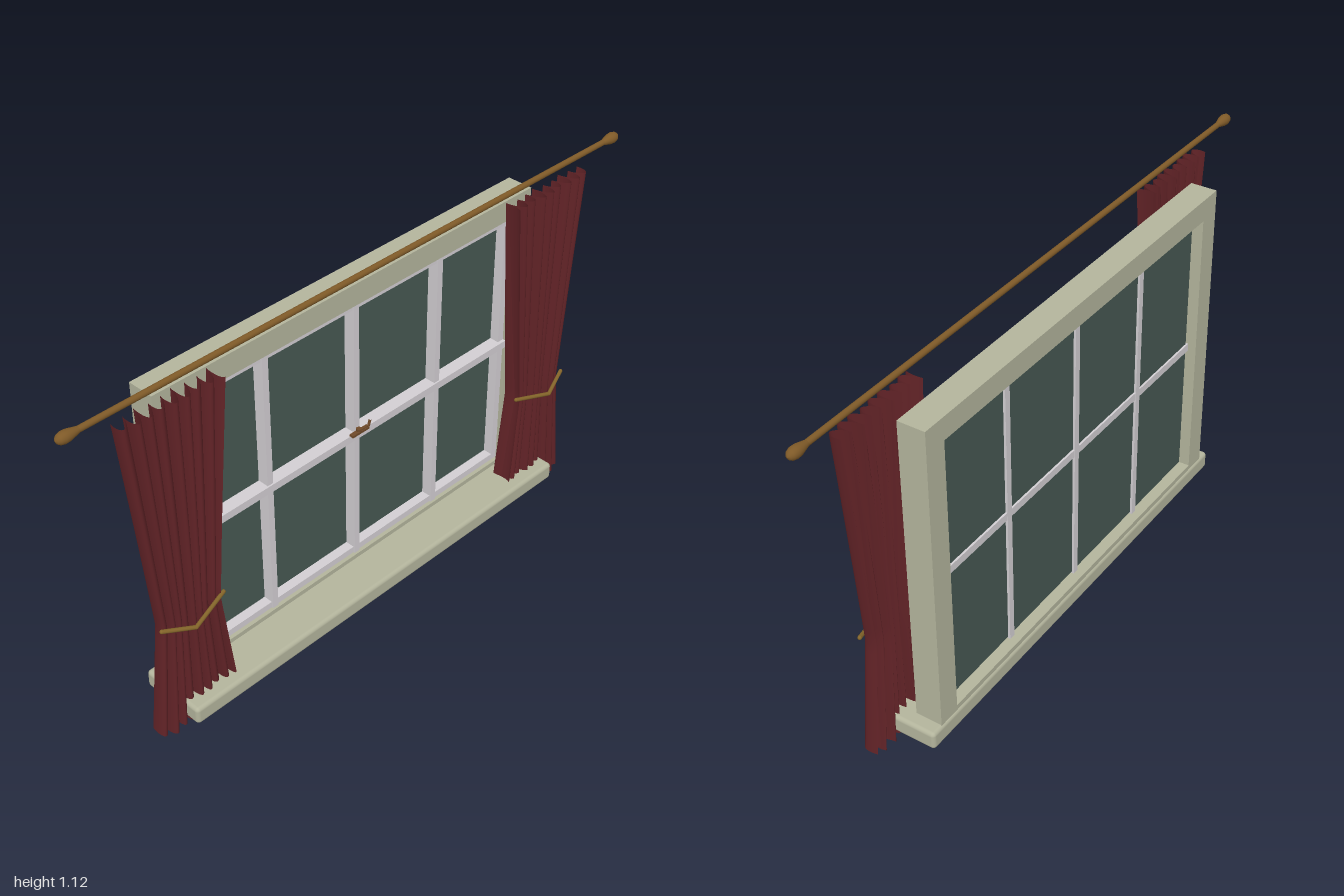
import * as THREE from 'three';
import { RoundedBoxGeometry } from 'three/addons/geometries/RoundedBoxGeometry.js';

const mat = (name, color, side = THREE.FrontSide) => {
  const m = new THREE.MeshStandardMaterial({ color, side });
  m.name = name;
  return m;
};

// Rectangular ring between two z planes
function ring(x, y0, y1, side, bottom, top, z0, z1) {
  const rect = (P, hx, a, b) => {
    const p = new P();
    p.moveTo(-hx, a);
    p.lineTo(hx, a);
    p.lineTo(hx, b);
    p.lineTo(-hx, b);
    p.closePath();
    return p;
  };
  const shape = rect(THREE.Shape, x, y0, y1);
  shape.holes.push(rect(THREE.Path, x - side, y0 + bottom, y1 - top));
  const g = new THREE.ExtrudeGeometry(shape, { depth: z1 - z0, bevelEnabled: false });
  return g.translate(0, 0, z0);
}

// Round bar between two points
function bar(a, b, r, sides = 12) {
  const path = new THREE.LineCurve3(new THREE.Vector3(...a), new THREE.Vector3(...b));
  return new THREE.TubeGeometry(path, 1, r, sides, false);
}

// Linear interpolation through [y, value] stops
function along(stops, y) {
  for (let i = 1; i < stops.length; i++) {
    const [y0, v0] = stops[i - 1], [y1, v1] = stops[i];
    if (y <= y1) return v0 + (v1 - v0) * (y - y0) / (y1 - y0);
  }
  return stops[stops.length - 1][1];
}

// Pleated sheet, drawn in at the tie
function curtainGeometry(side) {
  const inner = [[0, 0.55], [0.38, 0.588], [1.06, 0.53]];
  const outer = [[0, 0.82], [0.38, 0.782], [1.06, 0.845]];
  const depth = [[0, 0.036], [0.38, 0.03], [1.06, 0.03]];
  const g = new THREE.PlaneGeometry(1, 1, 144, 28);
  const p = g.attributes.position;
  for (let i = 0; i < p.count; i++) {
    const u = p.getX(i) + 0.5, v = p.getY(i) + 0.5;
    const y = v * 1.055 + 0.005;
    const a = along(inner, y), b = along(outer, y);
    const t = side > 0 ? u : 1 - u;
    const phase = t * Math.PI * 2 * 8.5 + 0.4 * Math.sin(y * 3);
    const size = 0.82 + 0.18 * Math.sin(t * 17 + 1);
    const x = a + (b - a) * t + 0.008 * Math.sin(phase + 0.6);
    const z = 0.042 + along(depth, y) * size * Math.cos(phase);
    const hem = (1 - v) ** 6 * 0.014 * Math.abs(Math.sin(t * Math.PI * 3.5));
    p.setXYZ(i, side * x, y + hem, z);
  }
  g.computeVertexNormals();
  return g;
}

export function createModel() {
  const model = new THREE.Group();
  model.name = 'curtainedWindow';
  const cream = mat('cream frame', 0xb3b49c);
  const white = mat('white sash', 0xd2ced2);
  const glass = mat('dark glass', 0x465852);
  const cloth = mat('burgundy cloth', 0x602226, THREE.DoubleSide);
  const wood = mat('brown wood', 0x7f5a28);
  const gold = mat('gold cord', 0x84652a);
  const bronze = mat('bronze latch', 0x6f4a2a);

  const add = (name, geometry, material, parent = model) => {
    const mesh = new THREE.Mesh(geometry, material);
    mesh.name = name;
    parent.add(mesh);
    return mesh;
  };
  const box = (name, w, h, d, x, y, z, m) =>
    add(name, new THREE.BoxGeometry(w, h, d).translate(x, y, z), m);

  // Frame and sill
  add('frame', ring(0.69, 0.06, 1.037, 0.07, 0.04, 0.067, -0.1, -0.018), cream);
  add('sill', new RoundedBoxGeometry(1.464, 0.057, 0.212, 3, 0.012).translate(0, 0.057, 0.001), cream);

  // Sash, pane and glazing bars
  add('sash', ring(0.62, 0.1, 0.97, 0.022, 0.021, 0.021, -0.06, -0.03), white);
  box('pane', 1.23, 0.86, 0.008, 0, 0.535, -0.064, glass);
  for (const x of [-0.325, 0, 0.325]) {
    box('verticalBar', 0.02, 0.87, 0.05, x, 0.535, -0.05, white);
  }
  box('meetingRail', 1.24, 0.024, 0.054, 0, 0.535, -0.047, white);

  // Latch on the meeting rail
  const latch = new THREE.Group();
  latch.name = 'latch';
  model.add(latch);
  add('latchPlate', new THREE.BoxGeometry(0.065, 0.007, 0.014).translate(0.002, 0.55, -0.016), bronze, latch);
  add('latchPivot', new THREE.CylinderGeometry(0.008, 0.008, 0.01, 12).translate(0, 0.556, -0.017), bronze, latch);
  add('latchLever', bar([0, 0.556, -0.014], [0.036, 0.556, -0.014], 0.003, 8), bronze, latch);
  add('latchHandle', bar([0.035, 0.554, -0.014], [0.041, 0.572, -0.014], 0.004, 8), bronze, latch);

  // Rod with egg-shaped finials
  add('rod', bar([-0.96, 1.105, 0.035], [0.96, 1.105, 0.035], 0.0085, 16), wood);
  const egg = [[0, 0], [0.008, 0.003], [0.0135, 0.01], [0.0165, 0.022], [0.0155, 0.036], [0.012, 0.05], [0.0085, 0.064]]
    .map(([r, h]) => new THREE.Vector2(r, h));

  for (const side of [-1, 1]) {
    const finial = add('finial', new THREE.LatheGeometry(egg, 20), wood);
    finial.rotation.z = side * Math.PI / 2;
    finial.position.set(side, 1.105, 0.035);

    // Curtain and its tie cord
    add('curtain', curtainGeometry(side), cloth);
    const ends = [[side * 0.582, 0.392, 0.066], [side * 0.702, 0.367, 0.095], [side * 0.79, 0.392, 0.066]];
    add('tieInner', bar(ends[0], ends[1], 0.006, 8), gold);
    add('tieOuter', bar(ends[1], ends[2], 0.006, 8), gold);
    for (const e of ends) add('tieKnot', new THREE.SphereGeometry(0.006, 10, 8).translate(...e), gold);
  }
  return model;
}
